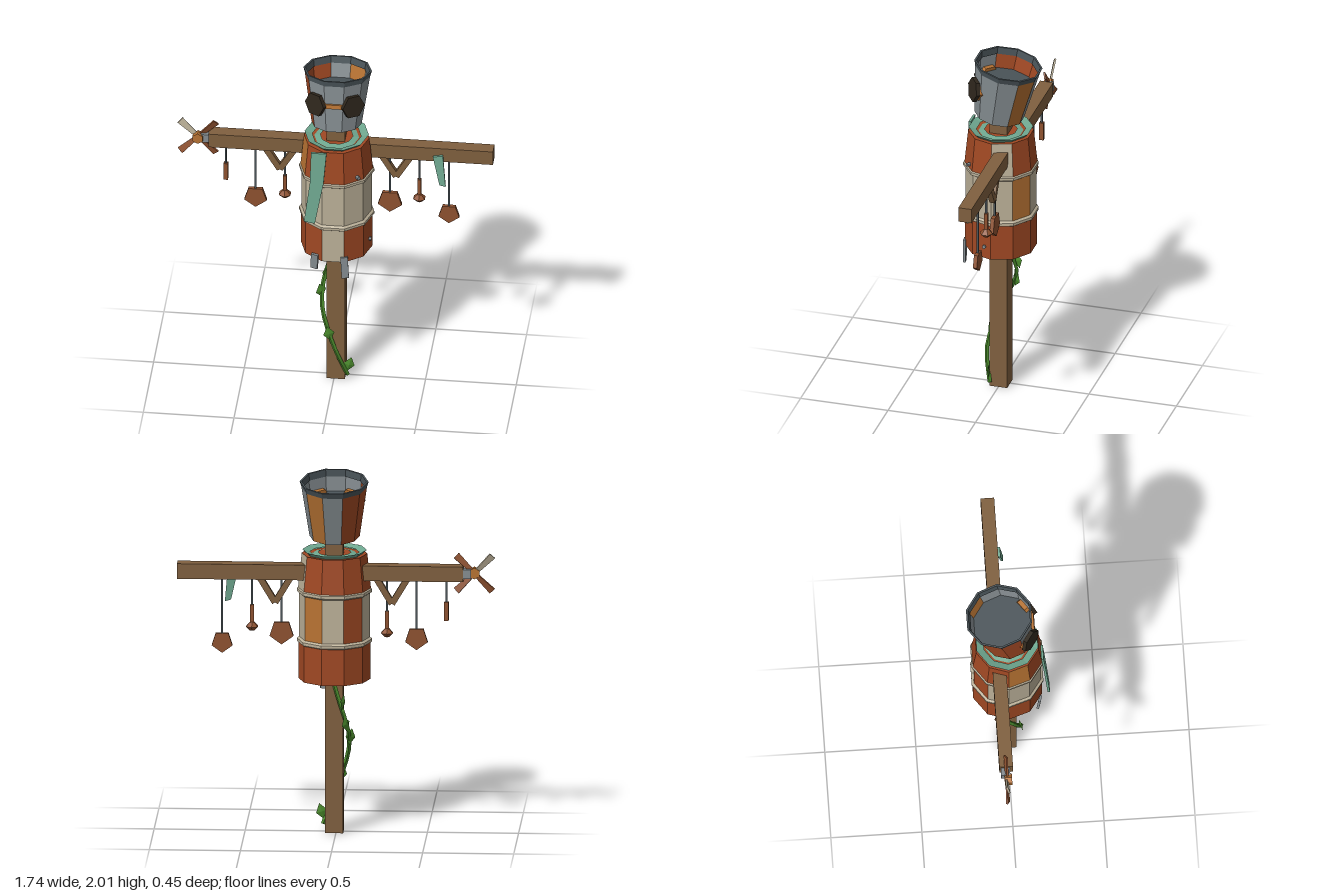
import * as THREE from 'three';

const mat = (name, color) => {
  const m = new THREE.MeshStandardMaterial({ color, side: THREE.DoubleSide });
  m.name = name;
  return m;
};

// Hard facets without shared normals
const facet = (geo) => {
  const g = geo.index ? geo.toNonIndexed() : geo;
  g.computeVertexNormals();
  return g;
};

const SIDES = 10;
const START = -Math.PI / SIDES; // puts a flat face on +z

export function createModel() {
  const wood = mat('wood', 0x80603f);
  const rust = mat('rust', 0xa04823);
  const tan = mat('tan', 0xbcb199);
  const copper = mat('copper', 0xb87333);
  const grey = mat('grey', 0x868e92);
  const slate = mat('slate', 0x4a5459);
  const teal = mat('teal', 0x6fa890);
  const green = mat('green', 0x4a8a2c);
  const leather = mat('leather', 0x8f5230);
  const dark = mat('darkGlass', 0x2e261c);
  const code = { R: rust, T: tan, C: copper, G: grey };

  const root = new THREE.Group();
  const add = (parent, name, geo, material, pos = [0, 0, 0], rot = [0, 0, 0]) => {
    const m = new THREE.Mesh(facet(geo), material);
    m.name = name;
    m.position.set(...pos);
    m.rotation.set(...rot);
    parent.add(m);
    return m;
  };
  const group = (name, x = 0, y = 0, z = 0) => {
    const g = new THREE.Group();
    g.name = name;
    g.position.set(x, y, z);
    root.add(g);
    return g;
  };
  const box = (w, h, d) => new THREE.BoxGeometry(w, h, d);

  // Ten-sided open wall, one colour letter per face, starting at the front
  const panels = (parent, name, rTop, rBottom, y0, y1, colors) => {
    const geo = new THREE.CylinderGeometry(rTop, rBottom, y1 - y0, SIDES, 1, true, START);
    geo.clearGroups();
    const used = [...new Set(colors)];
    [...colors].forEach((c, i) => geo.addGroup(i * 6, 6, used.indexOf(c)));
    add(parent, name, geo, used.map((c) => code[c]), [0, (y0 + y1) / 2, 0]);
  };
  const lathe = (pts) =>
    new THREE.LatheGeometry(pts.map((p) => new THREE.Vector2(...p)), SIDES, START);
  const disc = (r) => new THREE.CircleGeometry(r, SIDES, Math.PI / 2 - START).rotateX(-Math.PI / 2);

  // Post and crossbar
  add(root, 'post', box(0.1, 1.7, 0.1), wood, [0.01, 0.85, 0]);
  add(root, 'crossbar', box(1.57, 0.085, 0.075), wood, [0.085, 1.472, -0.05]);

  // Barrel body
  const barrel = group('barrel', 0.01, 0, 0);
  panels(barrel, 'lowerStaves', 0.198, 0.198, 0.86, 1.07, 'TRRRRRRRRR');
  panels(barrel, 'middleStaves', 0.194, 0.194, 1.07, 1.36, 'TTTTCTRTTT');
  panels(barrel, 'upperStaves', 0.18, 0.2, 1.37, 1.565, 'RRRTRRRRCR');
  for (const y of [1.06, 1.34]) {
    add(barrel, 'hoop',
      lathe([[0.192, y], [0.207, y + 0.01], [0.207, y + 0.026], [0.192, y + 0.037]]), tan);
  }
  add(barrel, 'barrelBottom', disc(0.198), rust, [0, 0.86, 0]);
  add(barrel, 'barrelTop', disc(0.18), rust, [0, 1.563, 0]);
  add(barrel, 'bolt', new THREE.CylinderGeometry(0.011, 0.011, 0.02, 6), grey,
    [0.133, 1.395, 0.146], [Math.PI / 2, 0, -0.7]);
  add(barrel, 'bolt', new THREE.CylinderGeometry(0.011, 0.011, 0.02, 6), grey,
    [0.186, 0.93, 0.04], [0, 0, Math.PI / 2]);

  // Metal tabs hanging from the barrel
  add(root, 'tab', box(0.04, 0.135, 0.014), grey, [0.075, 0.828, 0.187], [0, 0.1, 0.05]);
  add(root, 'tab', box(0.04, 0.095, 0.014), grey, [-0.093, 0.848, 0.172], [0.08, -0.3, -0.05]);

  // Scarf: collar and two tapered cloth strips
  add(barrel, 'scarfCollar', lathe([[0.09, 1.57], [0.148, 1.558], [0.177, 1.585], [0.135, 1.572]]), teal);
  const cloth = (name, pts, z, slope) => {
    const geo = new THREE.ExtrudeGeometry(
      new THREE.Shape(pts.map((p) => new THREE.Vector2(...p))),
      { depth: 0.013, bevelEnabled: false });
    const p = geo.attributes.position;
    for (let i = 0; i < p.count; i++) p.setZ(i, p.getZ(i) + z + (pts[0][1] - p.getY(i)) * slope);
    add(root, name, geo, teal);
  };
  cloth('scarfTail',
    [[-0.11, 1.57], [-0.115, 1.38], [-0.145, 1.14], [-0.085, 1.13], [-0.04, 1.38], [-0.025, 1.57]], 0.182, 0.075);
  cloth('clothStrip', [[0.54, 1.465], [0.578, 1.295], [0.612, 1.285], [0.595, 1.475]], -0.012, 0.1);

  // Bucket head, tilted back
  const head = group('head', 0.01, 1.66, 0.01);
  head.rotation.x = -0.165;
  panels(head, 'bucketWall', 0.18, 0.138, 0, 0.29, 'GGGGCGRRRG');
  add(head, 'bucketRim', lathe([[0.178, 0.283], [0.189, 0.322], [0.178, 0.322], [0.172, 0.283]]), slate);
  add(head, 'bucketBottom', disc(0.138), slate);
  add(head, 'bucketFloor', disc(0.166), slate, [0, 0.2, 0]);

  // Goggles
  for (const s of [-1, 1]) {
    const eye = new THREE.Group();
    eye.name = 'goggle';
    eye.position.set(s * 0.096, 0.166, 0.132);
    eye.rotation.y = s * Math.PI / 5;
    head.add(eye);
    const hex = (r, d) => new THREE.CylinderGeometry(r, r, d, 6, 1, false, Math.PI / 6).rotateX(Math.PI / 2).rotateZ(0);
    const frame = add(eye, 'goggleFrame', hex(0.062, 0.03), copper, [0, 0, -0.012]);
    const lens = add(eye, 'lens', hex(0.069, 0.022), dark, [0, 0, 0.012]);
    frame.rotation.z = lens.rotation.z = 0;
  }
  add(head, 'goggleBridge', box(0.1, 0.024, 0.016), copper, [0, 0.166, 0.162]);

  // V-shaped braces under the crossbar
  for (const cx of [-0.308, 0.333]) {
    for (const s of [-1, 1]) {
      add(root, 'brace', box(0.034, 0.165, 0.03), wood,
        [cx + s * 0.043, 1.368, -0.05], [0, 0, -s * 0.54]);
    }
  }

  // Hanging charms
  const pentagon = (r) => new THREE.CylinderGeometry(r, r, 0.022, 5).rotateX(Math.PI / 2);
  const charm = (x, bottom, parts) => {
    const g = group('charm', x, 0, -0.05);
    add(g, 'string', box(0.01, 1.44 - bottom, 0.01), slate, [0, (1.44 + bottom) / 2, 0]);
    parts(g);
  };
  for (const [x, y, r] of [[-0.443, 1.103, 0.065], [0.298, 1.13, 0.069], [0.624, 1.07, 0.06]]) {
    charm(x, y, (g) => add(g, 'pentagonPlate', pentagon(r), leather, [0, y, 0]));
  }
  charm(-0.607, 1.3, (g) => add(g, 'rod', box(0.024, 0.105, 0.024), leather, [0, 1.257, 0]));
  for (const [x, y] of [[-0.281, 1.108], [0.46, 1.136]]) {
    charm(x, y + 0.14, (g) => {
      add(g, 'rod', box(0.02, 0.1, 0.02), leather, [0, y + 0.095, 0]);
      add(g, 'bell', new THREE.CylinderGeometry(0.012, 0.037, 0.026, 6, 1), leather, [0, y + 0.036, 0]);
      add(g, 'bellBase', new THREE.CylinderGeometry(0.037, 0.014, 0.022, 6, 1), leather, [0, y + 0.012, 0]);
    });
  }

  // Pinwheel at the end of the crossbar
  const wheel = group('pinwheel', -0.76, 1.472, -0.05);
  add(wheel, 'axleBlock', box(0.045, 0.05, 0.05), grey, [0.04, 0, -0.005]);
  add(wheel, 'hub', new THREE.CylinderGeometry(0.032, 0.032, 0.04, 6).rotateX(Math.PI / 2), copper, [0, 0, 0.008]);
  for (let i = 0; i < 4; i++) {
    const arm = new THREE.Group();
    arm.name = 'bladeArm';
    arm.rotation.z = Math.PI / 4 + i * Math.PI / 2;
    wheel.add(arm);
    const geo = box(0.12, 0.04, 0.01);
    const p = geo.attributes.position;
    for (let k = 0; k < p.count; k++) if (p.getX(k) < 0) p.setY(k, p.getY(k) * 0.6);
    add(arm, 'blade', geo, i === 1 ? tan : leather, [0.08, 0, 0], [0.35, 0, 0]);
  }

  // Vine winding round the post, with leaves
  const vine = group('vine');
  const path = new THREE.CatmullRomCurve3([
    [0.075, 0.03, 0.045], [0.015, 0.2, 0.08], [-0.03, 0.32, 0.062], [-0.066, 0.45, 0.03],
    [-0.07, 0.56, -0.035], [-0.045, 0.67, -0.075], [-0.015, 0.76, -0.065], [0.02, 0.88, -0.055],
  ].map((p) => new THREE.Vector3(...p)));
  add(vine, 'stem', new THREE.TubeGeometry(path, 14, 0.012, 4), green);
  const leaves = [
    [0.083, 0.1, 0.05, -0.3, 0.2], [-0.025, 0.31, 0.075, 0.2, 0.3], [-0.078, 0.535, -0.01, 0.2, 0.6],
    [-0.04, 0.745, -0.08, 0.3, 1.2], [-0.055, 0.62, -0.07, -0.3, 0.9],
  ];
  for (const [x, y, z, rz, ry] of leaves) {
    const leaf = new THREE.OctahedronGeometry(1, 0).scale(0.032, 0.048, 0.008);
    add(vine, 'leaf', leaf, green, [x, y, z], [0, ry, rz]);
  }

  return root;
}
